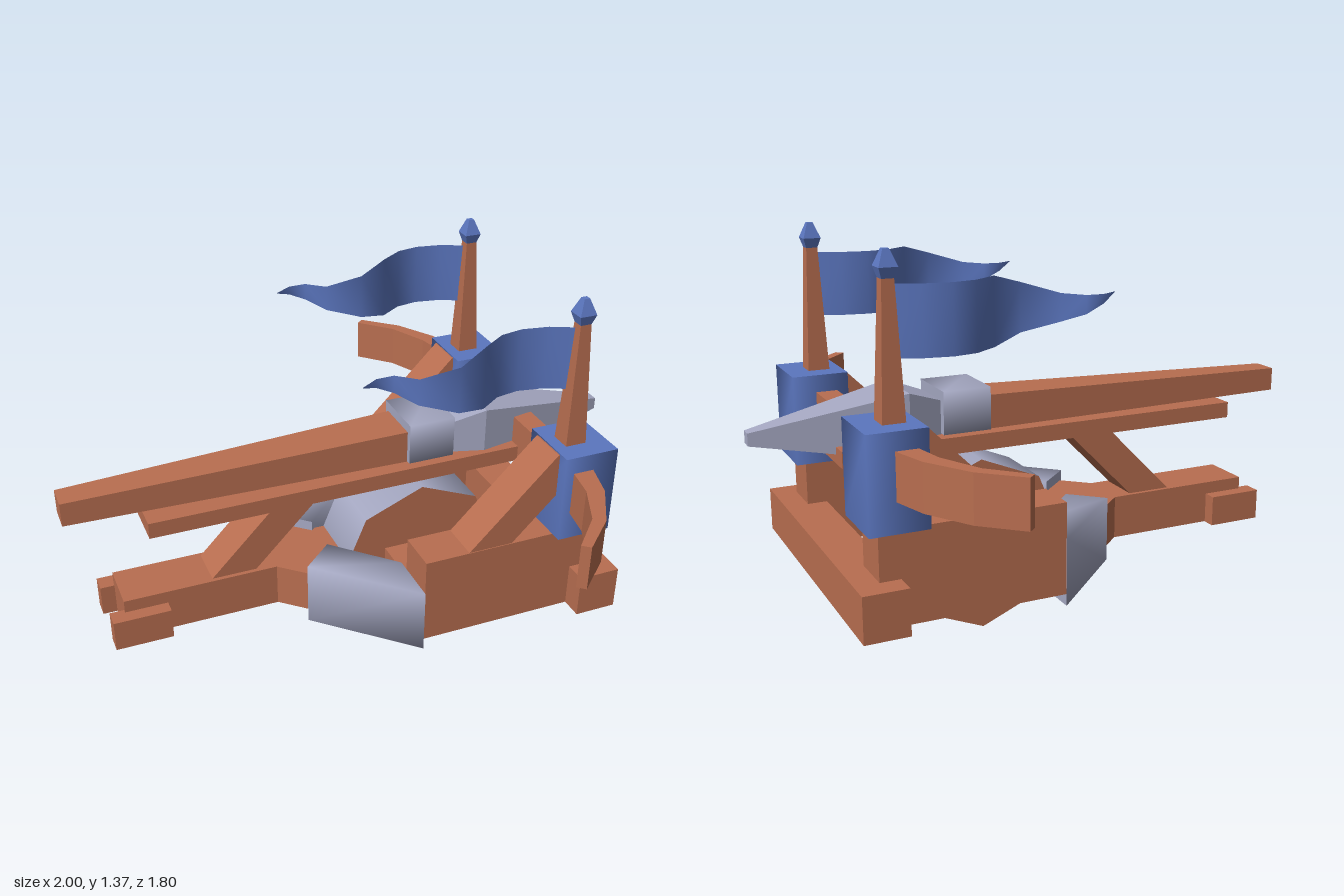
import * as THREE from 'three';

const wood = new THREE.MeshStandardMaterial({ color: 0xb86e50 });
wood.name = 'wood';
const iron = new THREE.MeshStandardMaterial({ color: 0xa5a8c2 });
iron.name = 'iron';
const blue = new THREE.MeshStandardMaterial({ color: 0x5b76bf });
blue.name = 'blue paint';
const cloth = new THREE.MeshStandardMaterial({ color: 0x5b76bf, side: THREE.DoubleSide });
cloth.name = 'blue cloth';

// Solid through a list of rings with equal point counts; sides flat or smooth, ends always flat.
function loft(rings, smooth = false) {
  const n = rings[0].length, pos = rings.flat(2), index = [];
  for (let r = 0; r < rings.length - 1; r++) {
    for (let i = 0; i < n; i++) {
      const a = r * n + i, b = r * n + (i + 1) % n;
      index.push(a, b, b + n, a, b + n, a + n);
    }
  }
  for (const [ring, end] of [[rings[0], 0], [rings.at(-1), 1]]) {
    const start = pos.length / 3;
    pos.push(...ring.flat());
    for (let i = 1; i < n - 1; i++) {
      index.push(start, start + i + (end ? 0 : 1), start + i + (end ? 1 : 0));
    }
  }
  // Turn the faces outwards if the rings run the other way
  const p = (i) => new THREE.Vector3().fromArray(pos, index[i] * 3);
  let volume = 0;
  for (let i = 0; i < index.length; i += 3) volume += p(i).dot(p(i + 1).cross(p(i + 2)));
  if (volume < 0) index.reverse();
  let g = new THREE.BufferGeometry();
  g.setAttribute('position', new THREE.Float32BufferAttribute(pos, 3));
  g.setIndex(index);
  if (!smooth) g = g.toNonIndexed();
  g.computeVertexNormals();
  return g;
}

// Rectangular rings: level (at height y), across (at x), upright (between two plan points)
const level = (y, x0, x1, z0, z1) => [[x0, y, z0], [x0, y, z1], [x1, y, z1], [x1, y, z0]];
const across = (x, y0, y1, w) => [[x, y0, -w], [x, y0, w], [x, y1, w], [x, y1, -w]];
const upright = ([ax, az], [bx, bz], y0, y1) => [[ax, y0, az], [bx, y0, bz], [bx, y1, bz], [ax, y1, az]];
const square = (y, h, cx, cz) => level(y, cx - h, cx + h, cz - h, cz + h);

export function createModel() {
  const model = new THREE.Group();
  model.name = 'siegeBallista';
  const add = (name, geometry, material) => {
    const mesh = new THREE.Mesh(geometry, material);
    mesh.name = name;
    model.add(mesh);
    return mesh;
  };
  const box = (name, x0, x1, y0, y1, z0, z1) => {
    const g = new THREE.BoxGeometry(x1 - x0, y1 - y0, Math.abs(z1 - z0));
    g.translate((x0 + x1) / 2, (y0 + y1) / 2, (z0 + z1) / 2);
    return add(name, g, wood);
  };

  // Base frame
  box('frontCrossbeam', 0.66, 0.81, 0.23, 0.385, -0.55, 0.55);
  box('middleCrossbeam', 0.105, 0.26, 0.232, 0.383, -0.33, 0.33);
  box('tailBeam', -0.84, -0.05, 0.23, 0.385, -0.09, 0.09);
  add('rearBrace', loft([level(0.38, -0.53, -0.37, -0.075, 0.075), level(0.65, -0.265, -0.105, -0.075, 0.075)]), wood);

  // Eight-sided wheel with an iron rim
  const wheel = new THREE.CylinderGeometry(0.305, 0.305, 0.25, 8);
  wheel.rotateX(Math.PI / 2).translate(0.245, 0.305, 0);
  add('wheel', wheel, [iron, wood, wood]);

  // Rail and bolt
  box('rail', -0.74, 0.73, 0.645, 0.702, -0.135, 0.135);
  add('boltShaft', loft([across(-1, 0.703, 0.787, 0.047), across(0.21, 0.701, 0.82, 0.085)]), wood);
  add('boltCollar', loft([across(0.2, 0.705, 0.853, 0.105), across(0.37, 0.705, 0.853, 0.105)], true), iron);
  add('boltHead', loft([
    across(0.36, 0.69, 0.815, 0.075), across(0.49, 0.634, 0.862, 0.113), across(1, 0.725, 0.767, 0.022),
  ]), iron);

  // Bow, swept back at both ends: [front x, front z, back x, back z]
  const limb = [[0.69, 0.45, 0.615, 0.45], [0.685, 0.5, 0.61, 0.5], [0.645, 0.64, 0.588, 0.62],
    [0.555, 0.79, 0.52, 0.765], [0.435, 0.9, 0.41, 0.878]];
  const bowRing = (s) => ([fx, fz, bx, bz]) => upright([fx, s * fz], [bx, s * bz], 0.645, 0.8);
  add('bow', loft([...[...limb].reverse().map(bowRing(-1)), ...limb.map(bowRing(1))]), wood);

  for (const s of [1, -1]) {
    const side = s > 0 ? 'left' : 'right';
    const z = s * 0.397;

    // Side frame, slanted brace and angled rear beam
    box(side + 'SideFrame', 0.1, 0.73, 0.23, 0.545, s * 0.32, s * 0.472);
    add(side + 'FrontBrace', loft([
      level(0.54, 0.255, 0.415, s * 0.323, s * 0.469), level(0.855, 0.57, 0.73, s * 0.323, s * 0.469),
    ]), wood);
    add(side + 'RearBeam', loft([
      upright([0.11, s * 0.455], [0.11, s * 0.3], 0.23, 0.385),
      upright([-0.295, s * 0.09], [-0.14, s * 0.05], 0.23, 0.385),
    ]), wood);
    add(side + 'RearSleeve', loft([
      upright([0.1, s * 0.475], [0.1, s * 0.277], 0.19, 0.422),
      upright([-0.213, s * 0.18], [-0.1, s * 0.077], 0.19, 0.422),
    ], true), iron);
    box(side + 'TailBlock', -0.89, -0.69, 0.229, 0.34, s * 0.075, s * 0.138);

    // Painted tower block on the side frame
    add(side + 'TowerBlock', loft([
      level(0.545, 0.575, 0.77, z - 0.115, z + 0.115), level(0.86, 0.575, 0.77, z - 0.115, z + 0.115),
    ], true), blue);

    // Flagpole and finial
    add(side + 'Flagpole', loft([square(0.85, 0.038, 0.655, z), square(1.3, 0.019, 0.655, z)]), wood);
    add(side + 'Finial', loft([
      square(1.285, 0.019, 0.655, z), square(1.32, 0.03, 0.655, z), square(1.372, 0.01, 0.655, z),
    ]), blue);

    // Waving pennant: [x, bottom, top, sideways offset]
    const strips = [[0.655, 1.05, 1.27, 0], [0.56, 1.05, 1.27, -0.045], [0.47, 1.05, 1.27, -0.06],
      [0.39, 1.05, 1.27, -0.045], [0.31, 1.05, 1.27, 0.01], [0.2, 1.079, 1.237, 0.055],
      [0.08, 1.11, 1.2, 0.015], [0.02, 1.138, 1.198, -0.042], [-0.04, 1.167, 1.197, -0.042],
      [-0.1, 1.194, 1.196, -0.005]];
    const flag = new THREE.PlaneGeometry(1, 1, strips.length - 1, 1);
    strips.forEach(([x, low, high, dz], i) => {
      flag.attributes.position.setXYZ(i, x, high, z + dz);
      flag.attributes.position.setXYZ(i + strips.length, x, low, z + dz);
    });
    flag.computeVertexNormals();
    add(side + 'Flag', flag, cloth);
  }
  return model;
}
